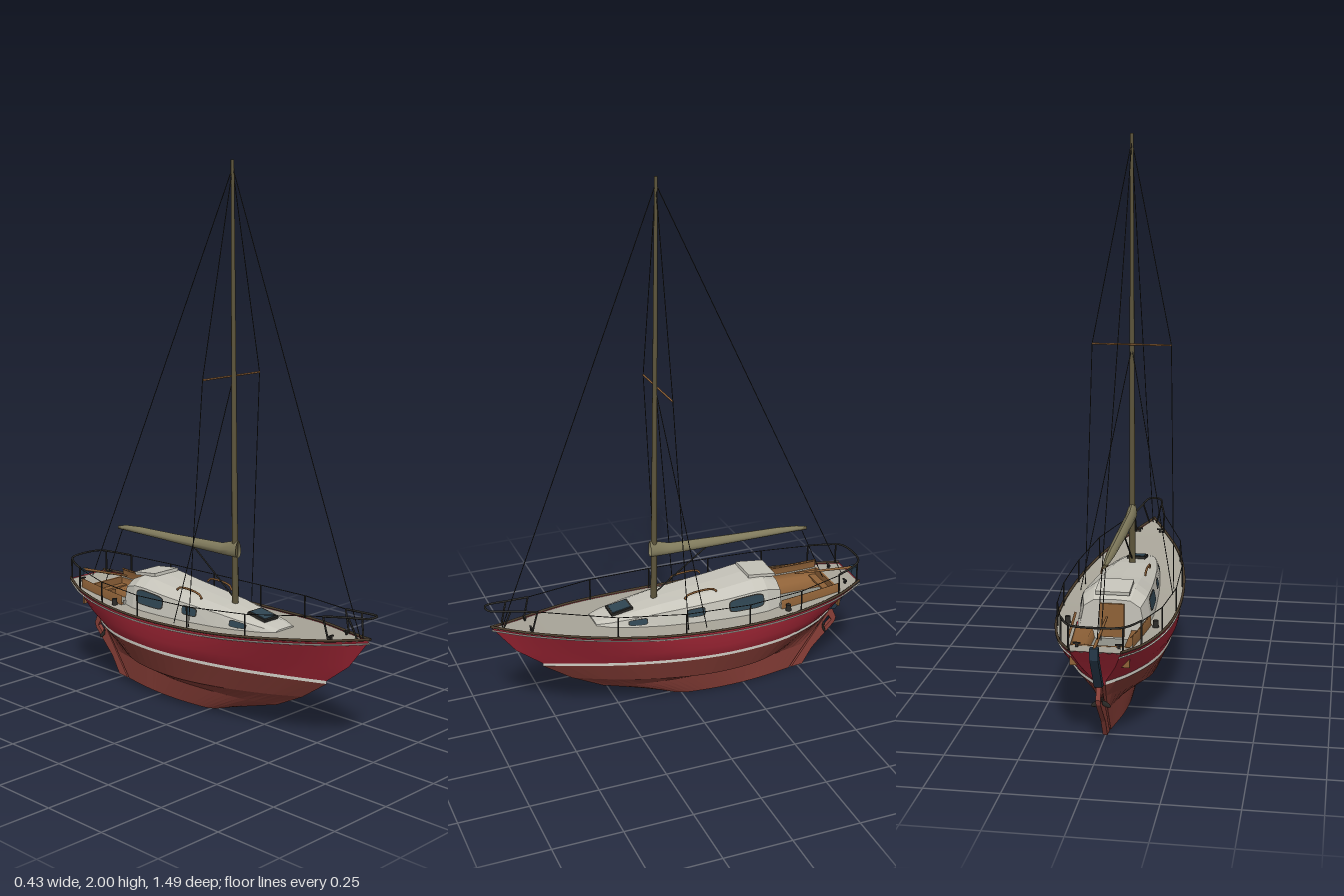
import * as THREE from 'three';

const V = (x, y, z) => new THREE.Vector3(x, y, z);
const mat = (color, extra = {}) => new THREE.MeshStandardMaterial({ color, side: THREE.DoubleSide, ...extra });
const M = {
  red: mat(0xa82838), bottom: mat(0x8a3f38, { flatShading: true }), white: mat(0xd0cdc4),
  deck: mat(0xaaa69a), cabin: mat(0xc6c4ba, { flatShading: true }), wood: mat(0x8f6238), dark: mat(0x2b2a27),
  spar: mat(0x5e563c), cover: mat(0x807a5c), glass: mat(0x2f4552), sole: mat(0x8f9088), trim: mat(0x4a3c2c), navy: mat(0x26394a),
};

// Skin across rows of points (all rows the same length)
function loft(rows) {
  const n = rows[0].length, idx = [];
  for (let r = 0; r < rows.length - 1; r++)
    for (let i = 0; i < n - 1; i++) {
      const a = r * n + i, b = a + n;
      idx.push(a, b, a + 1, b, b + 1, a + 1);
    }
  const g = new THREE.BufferGeometry().setFromPoints(rows.flat());
  g.setIndex(idx);
  g.computeVertexNormals();
  return g;
}
const flip = row => row.map(p => V(-p.x, p.y, p.z));
const range = (a, b, n) => Array.from({ length: n + 1 }, (_, i) => a + (b - a) * i / n);
const curveRow = (pts, n = 28) => new THREE.CatmullRomCurve3(pts.map(p => V(...p)))
  .getSpacedPoints(n).map(p => V(Math.max(0, p.x), Math.max(0, p.y), p.z));
// Point on a bow-to-stern row at a given z
function atZ(row, z) {
  let i = 0;
  while (i < row.length - 2 && row[i + 1].z > z) i++;
  const t = THREE.MathUtils.clamp((row[i].z - z) / (row[i].z - row[i + 1].z), 0, 1);
  return row[i].clone().lerp(row[i + 1], t);
}

export function createModel() {
  const boat = new THREE.Group();
  boat.name = 'sailingYacht';
  const add = (name, geo, m, x = 0, y = 0, z = 0) => {
    const mesh = new THREE.Mesh(geo, m);
    mesh.name = name;
    mesh.position.set(x, y, z);
    boat.add(mesh);
    return mesh;
  };
  const box = (name, w, h, d, m, x, y, z) => add(name, new THREE.BoxGeometry(w, h, d), m, x, y, z);
  const rod = (name, a, b, r, m, r2 = r, sides = 6) => {
    const d = b.clone().sub(a);
    const mesh = add(name, new THREE.CylinderGeometry(r2, r, d.length(), sides), m);
    mesh.position.copy(a).addScaledVector(d, 0.5);
    mesh.quaternion.setFromUnitVectors(V(0, 1, 0), d.normalize());
    return mesh;
  };
  const tube = (name, pts, r, m, seg = 40) =>
    add(name, new THREE.TubeGeometry(new THREE.CatmullRomCurve3(pts), seg, r, 6), m);
  const pair = (name, rows, m) => {
    add(name + 'Left', loft(rows), m);
    add(name + 'Right', loft(rows.map(flip)), m);
  };

  // Hull lines, each from stem to stern
  const sheer = curveRow([[0, .425, .727], [.022, .417, .68], [.06, .405, .6], [.137, .385, .4], [.182, .366, .2], [.204, .354, 0],
    [.208, .348, -.2], [.19, .35, -.4], [.14, .36, -.6], [.085, .372, -.715]]);
  const mid = curveRow([[0, .31, .637], [.05, .3, .5], [.125, .29, .3], [.18, .285, .1], [.198, .28, -.1], [.19, .28, -.3], [.145, .285, -.5], [.058, .305, -.668]]);
  const water = y => curveRow([[0, y, .54], [.05, y, .42], [.12, y, .22], [.168, y, 0], [.178, y, -.18], [.15, y, -.38], [.08, y, -.54], [.018, y, -.622]]);
  const bilge = curveRow([[0, .15, .43], [.05, .142, .3], [.11, .135, .1], [.135, .13, -.1], [.12, .135, -.3], [.06, .155, -.46], [.014, .17, -.58]]);
  const garboard = curveRow([[0, .09, .31], [.035, .088, .2], [.055, .085, 0], [.06, .085, -.15], [.045, .088, -.3], [.022, .095, -.45], [.011, .1, -.53]]);
  const keel = curveRow([[0, .03, .11], [.025, .002, 0], [.04, 0, -.15], [.035, 0, -.3], [.01, 0, -.46]]);
  const wTop = water(.236), wLow = water(.225);
  const upper = [sheer, mid, wTop], lower = [wLow, bilge, garboard, keel];
  pair('topside', upper, M.red);
  pair('waterlineStripe', [wTop, wLow], M.white);
  add('underbody', loft([...lower, ...lower.map(flip).reverse()]), M.bottom);
  const ends = rows => rows.map(r => r[r.length - 1]);
  const closeEnd = (name, pts, m) => add(name, loft([pts, flip(pts)]), m);
  closeEnd('transom', ends([...upper, wLow]), M.red);
  closeEnd('sternpost', ends(lower), M.bottom);

  // Deck with an opening for the cockpit
  const edge = (a, b, n) => range(a, b, n).map(z => atZ(sheer, z).add(V(0, -.003, 0)));
  const foreDeck = edge(.725, -.36, 30), sideDeck = edge(-.36, -.62, 10), aftDeck = edge(-.62, -.715, 5);
  const rimX = z => .125 + (z + .36) * .1;
  const rim = sideDeck.map(p => V(rimX(p.z), p.y, p.z));
  add('foreDeck', loft([foreDeck, flip(foreDeck)]), M.deck);
  pair('sideDeck', [sideDeck, rim], M.deck);
  add('aftDeck', loft([aftDeck, flip(aftDeck)]), M.deck);
  for (const s of [1, -1]) {
    tube('toeRail', sheer.map(p => V(p.x * s, p.y + .003, p.z)), .005, M.trim, 60);
    tube('rubbingStrake', sheer.map((p, i) => V(s * THREE.MathUtils.lerp(p.x, mid[i].x, .2), p.y - .014, p.z - .004)), .003, M.white, 60);
  }

  // Cockpit seats, sole and coamings
  const line = (x, y) => rim.map(p => V(x, y, p.z));
  pair('cockpitSeat', [rim, rim.map(p => V(p.x, .328, p.z)), line(.068, .328), line(.06, .29)], M.wood);
  box('cockpitSole', .135, .008, .26, M.sole, 0, .29, -.49);
  box('aftSeat', .2, .008, .03, M.wood, 0, .329, -.605);
  box('aftWall', .2, .07, .008, M.wood, 0, .325, -.622);
  pair('coaming', [[0, .032], [.008, .036], [.01, 0]].map(([dx, dy]) => rim.map(p => V(p.x + dx, p.y + dy, p.z))), M.wood);

  // Cabin: z, half width, roof height
  const stations = [[.345, .05, .383], [.3, .07, .393], [.2, .092, .41], [.1, .107, .426], [-.02, .118, .438], [-.15, .126, .45],
    [-.26, .13, .464], [-.31, .128, .462], [-.37, .112, .436]];
  const cabinRow = (kx, ky) => stations.map(([z, w, top]) => {
    const base = atZ(sheer, z).y - .008;
    return V(w * kx, base + (top - base) * ky, z);
  });
  const base = cabinRow(1, 0), shoulder = cabinRow(.88, .72), shell = [base, shoulder, cabinRow(.56, .97), cabinRow(0, 1)];
  add('cabin', loft([...shell, ...shell.slice(0, 3).map(flip).reverse()]), M.cabin);
  closeEnd('cabinFront', shell.map(r => r[0]), M.cabin);
  closeEnd('cabinBulkhead', ends(shell), M.cabin);
  box('bulkheadBase', .24, .07, .006, M.cabin, 0, .325, -.366);
  box('companionwayDoor', .085, .12, .008, M.wood, 0, .362, -.373);
  const hatch = box('slidingHatch', .12, .012, .11, M.cabin, 0, .462, -.31);
  hatch.rotation.x = -.12;
  // Windows lie on the sloping cabin side
  function cabinWindow(name, z0, z1, t0, t1, grow, lift, m) {
    const a = Math.abs(z1 - z0) / 2 + grow, b = (t1 - t0) / 2 + grow * 12;
    const pts = range(0, Math.PI * 2, 28).slice(0, -1).map(q => {
      const c = Math.cos(q), s = Math.sin(q);
      return new THREE.Vector2(a * Math.sign(c) * Math.abs(c) ** .45, b * Math.sign(s) * Math.abs(s) ** .45);
    });
    for (const s of [1, -1]) {
      const g = new THREE.ShapeGeometry(new THREE.Shape(pts)), p = g.attributes.position;
      for (let i = 0; i < p.count; i++) {
        const z = (z0 + z1) / 2 + p.getX(i);
        const q = atZ(base, z).lerp(atZ(shoulder, z), (t0 + t1) / 2 + p.getY(i));
        p.setXYZ(i, s * (q.x + lift), q.y + lift * .3, z);
      }
      g.computeVertexNormals();
      add(name, g, m);
    }
  }
  for (const [z0, z1, t0, t1] of [[.165, .23, .35, .85], [-.055, .01, .45, .85], [-.29, -.155, .35, .88]]) {
    cabinWindow('windowFrame', z0, z1, t0, t1, .004, .002, M.dark);
    cabinWindow('window', z0, z1, t0, t1, 0, .004, M.glass);
  }
  box('foreHatchFrame', .07, .014, .085, M.dark, 0, .405, .24).rotation.x = .17;
  box('foreHatchGlass', .056, .016, .07, M.glass, 0, .406, .24).rotation.x = .17;

  // Deck fittings
  for (const s of [1, -1]) {
    tube('handrail', [V(.078 * s, .435, .01), V(.08 * s, .45, 0), V(.08 * s, .457, -.1), V(.08 * s, .445, -.115)], .004, M.wood, 16);
    add('winch', new THREE.CylinderGeometry(.009, .011, .024, 12), M.dark, .153 * s, .36, -.38);
    for (const [x, y, z] of [[.07, .372, -.66], [.042, .41, .59]]) {
      box('cleat', .026, .005, .007, M.dark, x * s, y + .008, z);
      box('cleatFoot', .01, .01, .006, M.dark, x * s, y, z);
    }
  }

  // Mast, spreaders, boom with stowed sail
  const head = V(0, 1.975, .086);
  rod('mast', V(0, .40, .104), V(0, 2, .085), .012, M.spar, .006, 10);
  rod('spreaders', V(-.145, 1.25, .083), V(.145, 1.25, .083), .0035, M.wood);
  rod('boom', V(0, .602, .1), V(0, .598, -.52), .007, M.spar, .007, 8);
  const sail = [[.118, .014, .658], [.09, .019, .652], [.04, .019, .637], [-.2, .018, .626], [-.4, .015, .62], [-.48, .01, .613], [-.52, .004, .603]];
  const ring = range(0, Math.PI * 2, 12).map(q => sail.map(([z, w, top]) =>
    V(w * Math.sin(q) * (1 - .3 * Math.cos(q)), .594 + (top - .594) * (1 + Math.cos(q)) / 2, z)));
  add('sailCover', loft(ring), M.cover);

  // Standing and running rigging
  const wire = (name, a, b) => rod(name, a, b, .0016, M.dark, .0016, 5);
  wire('forestay', head, V(0, .42, .685));
  wire('backstay', head, V(0, .375, -.68));
  for (const s of [1, -1]) {
    wire('upperShroud', head, V(.145 * s, 1.25, .083));
    wire('capShroud', V(.145 * s, 1.25, .083), V(.165 * s, .355, .03));
    wire('lowerShroud', V(0, 1.24, .09), V(.17 * s, .355, -.04));
  }
  wire('mainsheet', V(0, .595, -.5), V(0, .37, -.6));
  rod('vang', V(0, .44, .1), V(0, .596, -.11), .003, M.dark);

  // Stanchions, lifelines, pulpit and pushpit
  for (const s of [1, -1]) {
    const top = (z, h = .083) => atZ(sheer, z).multiply(V(.97 * s, 1, 1)).add(V(0, h, 0));
    const posts = [.3, .05, -.2, -.42];
    for (const z of posts) rod('stanchion', top(z, 0), top(z), .003, M.dark);
    const run = [V(.06 * s, .487, .57), ...posts.map(z => top(z)), top(-.6)];
    for (let i = 1; i < run.length; i++) wire('lifeline', run[i - 1], run[i]);
    rod('pulpitLeg', V(.055 * s, .405, .59), V(.06 * s, .487, .57), .0035, M.dark);
    rod('pulpitLeg', V(.015 * s, .418, .685), V(.036 * s, .498, .66), .0035, M.dark);
    for (const z of [-.6, -.7]) rod('pushpitLeg', top(z, 0), top(z), .0035, M.dark);
  }
  const hoop = pts => [...pts, ...flip(pts).reverse()];
  tube('pulpitRail', hoop([V(.06, .487, .57), V(.042, .497, .65), V(.02, .506, .738)]), .004, M.dark);
  tube('pushpitRail', hoop([V(.134, .445, -.6), V(.105, .45, -.67), V(.07, .456, -.715)]), .004, M.dark);

  // Rudder (z, y outline), tiller and propeller
  const slab = (name, pts, t, m, hole) => {
    const shape = new THREE.Shape(pts.map(p => new THREE.Vector2(-p[0], p[1])));
    if (hole) shape.holes.push(new THREE.Path(hole.map(p => new THREE.Vector2(-p[0], p[1]))));
    const g = new THREE.ExtrudeGeometry(shape, { depth: t, bevelEnabled: false }).translate(0, 0, -t / 2).rotateY(Math.PI / 2);
    add(name, g, m);
  };
  slab('rudderBlade', [[-.472, 0], [-.52, .005], [-.56, .07], [-.6, .11], [-.655, .165], [-.662, .185], [-.645, .225], [-.63, .225]], .016, M.bottom,
    [[-.6, .165], [-.628, .2], [-.642, .178], [-.607, .143]]);
  slab('rudderHead', [[-.632, .228], [-.655, .228], [-.74, .352], [-.74, .392], [-.722, .392], [-.712, .35]], .028, M.navy);
  rod('tiller', V(0, .388, -.735), V(0, .41, -.48), .006, M.wood, .004);
  rod('propellerShaft', V(0, .165, -.56), V(0, .16, -.615), .006, M.dark);
  for (const a of [0, 1, 2]) {
    const blade = add('propellerBlade', new THREE.SphereGeometry(1, 10, 6), M.dark, 0, .16, -.605);
    blade.scale.set(.009, .02, .003);
    blade.rotation.z = a * Math.PI * 2 / 3;
    blade.translateY(.018);
  }
  return boat;
}
